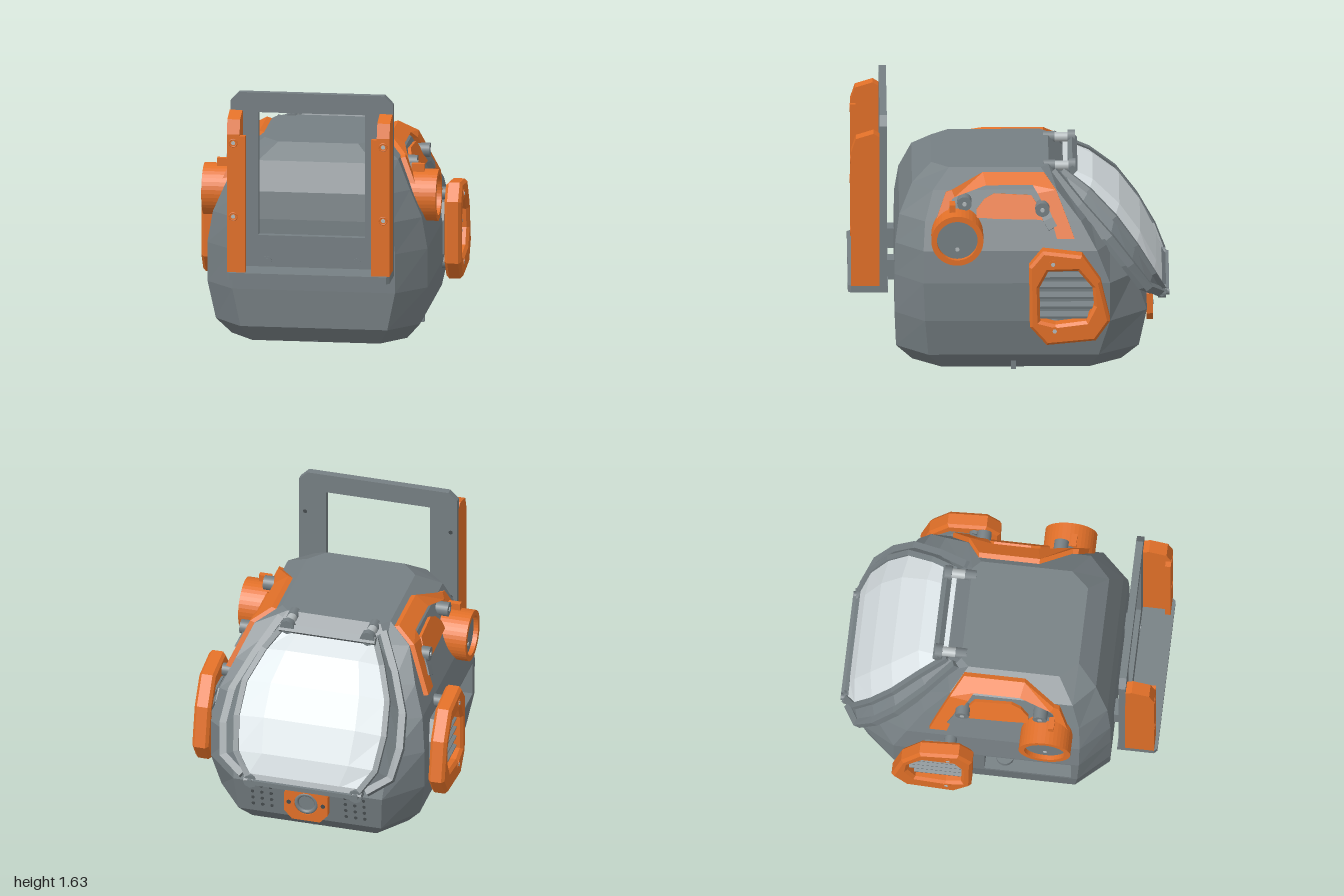
import * as THREE from 'three';

const mat = (name, color) => {
  const m = new THREE.MeshStandardMaterial({ color, side: THREE.DoubleSide });
  m.name = name;
  return m;
};

export function createModel() {
  const grey = mat('hullGrey', 0x767f83), orange = mat('trimOrange', 0xe27028);
  const glass = mat('canopyGlass', 0xdbe3e6), dark = mat('darkGrey', 0x454b4d);
  const steel = mat('steel', 0xb4bbbd);
  const root = new THREE.Group();

  const add = (name, geo, m, pos = [0, 0, 0]) => {
    const mesh = new THREE.Mesh(geo, m);
    mesh.name = name;
    mesh.position.set(...pos);
    root.add(mesh);
    return mesh;
  };
  const box = (name, size, pos, m) => add(name, new THREE.BoxGeometry(...size), m, pos);
  // cylinder along one axis
  const cyl = (name, r, len, pos, m, axis = 'x', n = 24) => {
    const g = new THREE.CylinderGeometry(r, r, len, n);
    if (axis === 'x') g.rotateZ(Math.PI / 2);
    if (axis === 'z') g.rotateX(Math.PI / 2);
    return add(name, g, m, pos);
  };
  // faceted skin through rows of points; skip(i, j) leaves a face out
  const loft = (rows, { closed = true, caps = false, skip = () => false } = {}) => {
    const p = [], n = rows[0].length;
    for (let i = 0; i + 1 < rows.length; i++) {
      for (let j = 0; j < (closed ? n : n - 1); j++) {
        if (skip(i, j)) continue;
        const k = (j + 1) % n;
        const [a, b, c, d] = [rows[i][j], rows[i][k], rows[i + 1][k], rows[i + 1][j]];
        p.push(...a, ...b, ...c, ...a, ...c, ...d);
      }
    }
    if (caps) for (let j = 1; j + 1 < n; j++) {
      const f = rows[0], l = rows[rows.length - 1];
      p.push(...f[0], ...f[j + 1], ...f[j], ...l[0], ...l[j], ...l[j + 1]);
    }
    const g = new THREE.BufferGeometry();
    g.setAttribute('position', new THREE.Float32BufferAttribute(p, 3));
    g.computeVertexNormals();
    return g;
  };
  // mitred square rail along points; h is measured along the normal
  const rail = (name, pts, w, h, normal, m) => {
    const v = pts.map(q => new THREE.Vector3(...q)), up = new THREE.Vector3(...normal).normalize();
    const rows = v.map((c, i) => {
      const t = v[Math.min(i + 1, v.length - 1)].clone().sub(v[Math.max(i - 1, 0)]).normalize();
      const side = t.clone().cross(up).normalize(), n = side.clone().cross(t);
      return [[-1, -1], [1, -1], [1, 1], [-1, 1]].map(([a, b]) =>
        c.clone().addScaledVector(side, a * w / 2).addScaledVector(n, b * h / 2).toArray());
    });
    add(name, loft(rows, { caps: true }), m);
  };
  const shapeOf = (pts, hole) => {
    const s = new THREE.Shape(pts.map(q => new THREE.Vector2(...q)));
    if (hole) s.holes.push(new THREE.Path(hole.map(q => new THREE.Vector2(...q))));
    return s;
  };
  // outline in (z, y), thick along x from x0 outwards to x1 on side s
  const sidePlate = (name, pts, hole, x0, x1, s, m, bevel = 0) => {
    const g = new THREE.ExtrudeGeometry(shapeOf(pts, hole), {
      depth: x1 - x0 - 2 * bevel, bevelEnabled: bevel > 0, bevelThickness: bevel,
      bevelSize: bevel, bevelOffset: -bevel, bevelSegments: 1 });
    g.rotateY(-Math.PI / 2);
    return add(name, g, m, [s > 0 ? x1 - bevel : -x0 - bevel, 0, 0]);
  };

  // Hull: y, half width, front z, front flat x, front corner z, back z, back flat x, back corner z
  const H = [
    [0, .55, .60, .40, .42, -.70, .40, -.50],
    [.11, .64, .70, .46, .50, -.81, .46, -.56],
    [.35, .69, .71, .51, .52, -.86, .48, -.63],
    [.6, .69, .71, .51, .53, -.78, .50, -.63],
    [.8, .655, .705, .49, .53, -.63, .50, -.55],
    [.97, .58, .68, .44, .52, -.50, .45, -.45],
    [1.15, .50, .60, .36, .47, -.33, .36, -.30],
    [1.245, .35, .48, .25, .37, -.25, .30, -.20]];
  const ring = ([y, w, zf, xf, zs, zb, xb, zc], k = 1, yy = y) => [
    [xf, zf], [w, zs], [w, zc], [xb, zb], [-xb, zb], [-w, zc], [-w, zs], [-xf, zf]]
    .map(([x, z]) => [x * k, yy, z * k]);
  const hullX = y => {
    let i = 0;
    while (i < H.length - 2 && y > H[i + 1][0]) i++;
    return THREE.MathUtils.mapLinear(y, H[i][0], H[i + 1][0], H[i][1], H[i + 1][1]);
  };
  add('hull', loft(H.map(h => ring(h)), { skip: (i, j) => i === 2 && j === 5 }), grey);
  const flatRing = (r, y) => {
    const g = new THREE.ShapeGeometry(shapeOf(r.map(q => [q[0], -q[2]])));
    return g.rotateX(-Math.PI / 2).translate(0, y, 0);
  };
  add('roof', flatRing(ring(H[7]), 1.245), grey);

  // Hollow underside with hatch
  add('undersideWall', loft([ring(H[0]), ring(H[0], .94), ring(H[0], .92, .05), ring(H[0], .84, .25)]), grey);
  add('undersideCeiling', flatRing(ring(H[0], .84), .25), grey);
  for (const s of [1, -1]) {
    box('hatchRim', [.03, .04, .74], [s * .335, .235, -.04], grey);
    box('hatchRim', [.7, .04, .03], [0, .235, -.04 + s * .355], grey);
    box('sideLug', [.05, .055, .03], [s * .575, .028, -.03], grey);
    box('endLug', [.03, .05, .05], [0, .026, s > 0 ? .585 : -.68], grey);
  }

  // Recess in one flank
  const flank = [[.52, .35], [-.63, .35], [-.63, .6], [.53, .6]];
  const recess = [[-.06, .37], [.48, .37], [.48, .59], [-.06, .59]];
  sidePlate('recessedFlank', flank, recess, .56, .69, -1, grey);
  box('recessBack', [.01, .25, .56], [-.556, .48, .21], grey);
  cyl('recessBoss', .055, .03, [-.61, .4, .06], grey, 'y');

  // Front carrying frame and shelf
  const frame = shapeOf(
    [[-.51, .5], [.51, .5], [.51, 1.575], [.455, 1.63], [-.455, 1.63], [-.51, 1.575]],
    [[-.335, .72], [.335, .72], [.335, 1.505], [-.335, 1.505]]);
  add('carryFrame', new THREE.ExtrudeGeometry(frame, { depth: .045, bevelEnabled: false }), grey, [0, 0, .757]);
  const shelf = shapeOf([[-.51, -.75], [.51, -.75], [.51, -.98], [.49, -1], [-.49, -1], [-.51, -.98]]);
  add('shelf', new THREE.ExtrudeGeometry(shelf, { depth: .045, bevelEnabled: false }).rotateX(-Math.PI / 2), grey, [0, .475, 0]);

  // Canopy: rim and outer rail points, glass bowed between the rims
  const slope = [0, .7, -.72];
  const rim = [[.29, 1.2, -.34], [.38, 1.1, -.5], [.46, .95, -.66], [.475, .77, -.79], [.45, .58, -.9], [.36, .45, -.96]];
  const outer = [[.33, 1.21, -.28], [.45, 1.03, -.45], [.55, .85, -.63], [.57, .68, -.76], [.54, .52, -.87], [.4, .44, -.94]];
  const bow = [0, .025, .03, .03, .02, 0];
  add('canopy', loft(rim.map(([x, y, z], i) => [-1, -.62, 0, .62, 1].map(t => {
    const b = Math.abs(t) < 1 ? bow[i] : 0;
    return [x * t, y + b, z - b];
  })), { closed: false }), glass);
  rail('canopyTopBar', [[-.31, 1.21, -.4], [.31, 1.21, -.4]], .045, .04, slope, grey);
  rail('canopySill', [[-.38, .43, -.955], [.38, .43, -.955]], .05, .05, slope, grey);
  rail('canopyLatchBar', [[-.32, .425, -.985], [.32, .425, -.985]], .03, .03, [0, 1, 0], grey);

  // Rear sensor: eight-sided plate with a round lens
  const eye = shapeOf([[-.14, .2], [-.09, .145], [.09, .145], [.14, .2], [.14, .33], [.09, .385], [-.09, .385], [-.14, .33]]);
  eye.holes.push(new THREE.Path().absarc(0, .265, .075, 0, Math.PI * 2, true));
  add('sensorPlate', new THREE.ExtrudeGeometry(eye, { depth: .04, bevelEnabled: false, curveSegments: 16 }), orange, [0, 0, -.9]);
  add('sensorRing', new THREE.TorusGeometry(.064, .014, 8, 24), grey, [0, .265, -.885]);
  cyl('sensorLens', .078, .06, [0, .265, -.84], grey, 'z');

  // Vent outlines in (z, y)
  const ventOut = [[-.21, .85], [-.455, .82], [-.57, .65], [-.63, .39], [-.54, .26], [-.235, .23], [-.13, .35], [-.125, .745]];
  const ventIn = [[-.19, .61], [-.245, .715], [-.43, .72], [-.52, .61], [-.53, .49], [-.48, .39], [-.29, .365], [-.195, .39]];
  // Shoulder trim: outer and inner edge, each (z, y)
  const trim = [
    [.465, .95, .41, .95], [.455, .97, .405, .97], [.39, 1.14, .35, 1.10], [.355, 1.15, .335, 1.11], [.16, 1.225, .14, 1.17],
    [-.22, 1.225, -.15, 1.17], [-.295, 1.15, -.18, 1.13], [-.37, .97, -.27, .97], [-.41, .87, -.3, .87]];
  const panel = [
    [.2, 1.04, .2, .99], [.15, 1.1, .15, .99], [.09, 1.13, .09, .985], [-.14, 1.12, -.14, .98], [-.17, 1.08, -.17, .98], [-.22, .99, -.22, .975]];

  for (const s of [1, -1]) {
    const flip = pts => pts.map(([x, y, z]) => [x * s, y, z]);
    const onHull = (z, y, d) => [s * (hullX(y) + d), y + d * .3, z];
    const strap = (name, rows, d, m) => add(name, loft(rows.map(([z0, y0, z1, y1]) => [
      onHull(z0, y0, -.02), onHull(z1, y1, -.02), onHull(z1, y1, d), onHull(z0, y0, d)]), { caps: true }), m);

    // Frame legs, bolts and struts
    sidePlate('frameLeg', [[.8, .52], [.98, .52], [.98, 1.4], [.95, 1.49], [.84, 1.525], [.8, 1.5]], null, .43, .51, s, orange);
    box('legFlange', [.04, .87, .035], [s * .415, .955, .9625], orange);
    for (const y of [.875, 1.345]) {
      add('legBoltRim', new THREE.TorusGeometry(.024, .004, 6, 20), orange, [s * .47, y, .98]);
      cyl('legBolt', .013, .004, [s * .47, y, .98], steel, 'z');
      cyl('frameBolt', .013, .004, [s * .47, y, .757], dark, 'z');
    }
    box('frameStrut', [.11, .13, .09], [s * .285, .565, .73], grey);
    cyl('strutBoltRim', .027, .008, [s * .28, .56, .802], grey, 'z');
    cyl('strutBolt', .014, .012, [s * .28, .56, .802], grey, 'z');

    // Side vent
    sidePlate('ventRing', ventOut, ventIn, .71, .815, s, orange, .018);
    sidePlate('ventBacking', ventIn, null, .62, .7, s, grey);
    for (const y of [.41, .475, .54, .605, .67]) {
      box('ventSlat', [.06, .016, .34], [s * .745, y, -.36], grey).rotation.z = -s * .25;
    }
    cyl('ventPeg', .04, .08, [s * .69, .325, -.285], grey);
    cyl('ventPeg', .04, .12, [s * .67, .765, -.275], grey);
    for (const [z, y] of [[-.275, .768], [-.285, .327]]) {
      cyl('ventBoltRim', .027, .006, [s * .815, y, z], orange);
      cyl('ventBolt', .013, .01, [s * .815, y, z], steel);
    }

    // Side lamp
    const tube = new THREE.Shape().absarc(.32, .895, .162, 0, Math.PI * 2);
    tube.holes.push(new THREE.Path().absarc(.32, .895, .127, 0, Math.PI * 2, true));
    const tg = new THREE.ExtrudeGeometry(tube, { depth: .2, bevelEnabled: false, curveSegments: 20 }).rotateY(-Math.PI / 2);
    add('lampTube', tg, orange, [s > 0 ? .735 : -.535, 0, 0]);
    cyl('lampFace', .128, .16, [s * .625, .895, .32], grey, 'x', 40);
    cyl('lampDot', .013, .006, [s * .706, .83, .32], steel);
    box('lampClip', [.08, .05, .035], [s * .61, 1.075, .35], orange);

    // Shoulder trim, panel and brackets
    strap('shoulderTrim', trim, .03, orange);
    strap('shoulderPanel', panel, .02, orange);
    for (const [z, y] of [[.275, 1.09], [-.21, 1.055]]) {
      const x = hullX(y);
      cyl('bracketKnob', .045, .08, [s * (x + .03), y, z], grey);
      cyl('knobCentre', .014, .084, [s * (x + .032), y, z], steel);
    }
    rail('rearBracket', [onHull(-.21, 1.055, .01), onHull(-.245, .98, .015), onHull(-.275, .93, .015)], .06, .05, [s, .4, 0], grey);
    rail('frontBracket', [onHull(.275, 1.09, .015), onHull(.34, 1.04, .015)], .045, .045, [s, .4, 0], grey);

    // Canopy rims, side walls and fasteners
    rail('canopyRim', flip(rim), .035, .035, slope, grey);
    rail('canopyOuterRail', flip(outer), .045, .05, slope, grey);
    add('canopySide', loft([flip(rim), flip(outer), flip(outer.map(([x, y, z]) => [x - .01, y - .02, z + .06]))], { closed: false }), grey);
    cyl('latchNut', .048, .045, [s * .26, 1.225, -.395], grey, 'z', 8);
    cyl('latchPin', .03, .1, [s * .26, 1.225, -.34], steel, 'z');
    cyl('latchTip', .036, .07, [s * .26, 1.225, -.255], grey, 'z', 8);
    cyl('sillNut', .045, .05, [s * .34, .42, -.955], grey, 'z', 8);
    cyl('sillPin', .022, .06, [s * .34, .42, -.97], grey, 'z');
    cyl('sensorBolt', .014, .006, [s * .11, .265, -.9], dark, 'z');

    // Speaker holes
    for (let i = 0; i < 3; i++) for (let j = 0; j < 4; j++) {
      const y = .17 + j * .05;
      cyl('speakerHole', .011, .008, [s * (.24 + i * .06), y, -.81 - (y - .11) * .208], dark, 'z', 10);
    }
  }
  return root;
}
